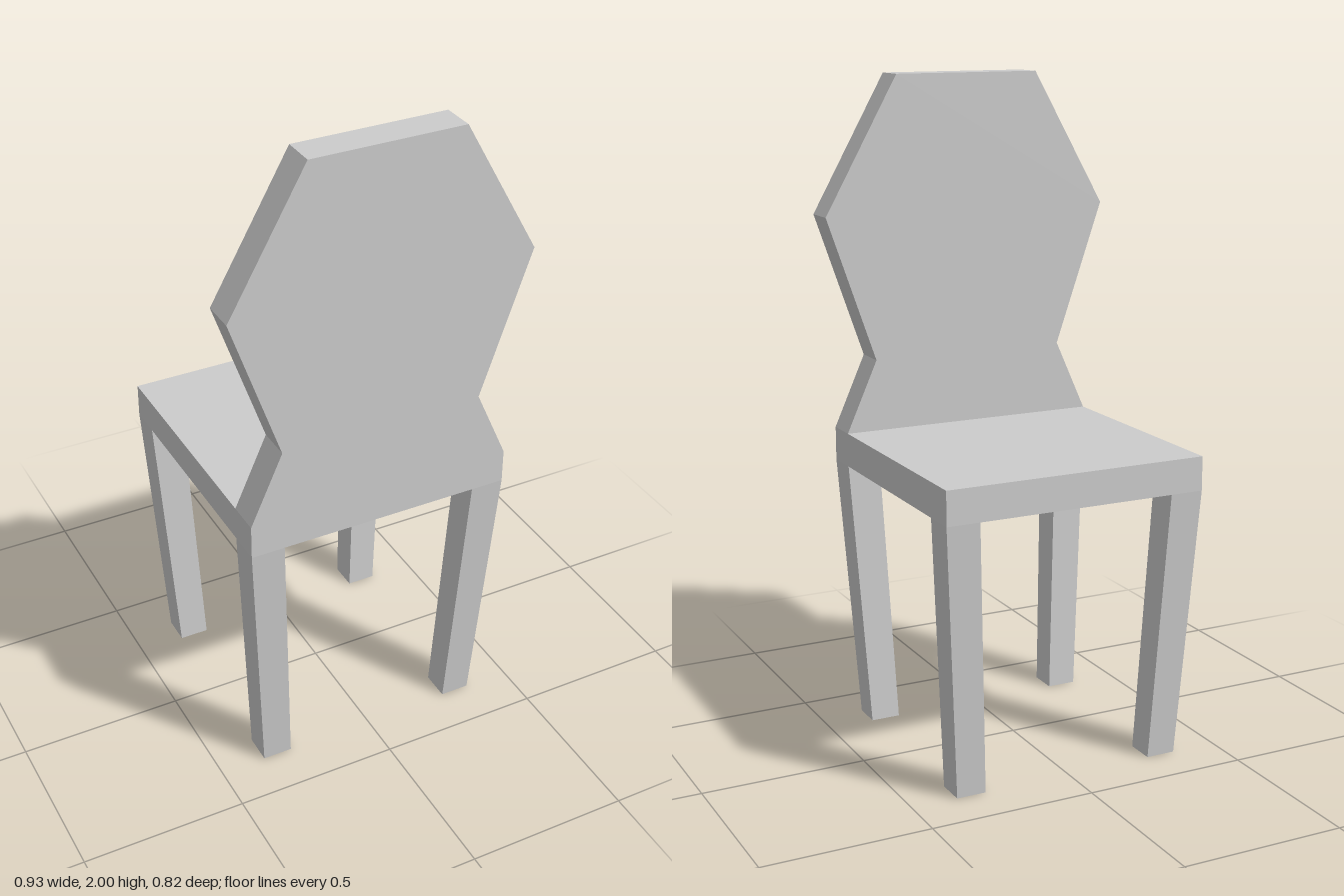
import * as THREE from 'three';

const HALF = 0.408;      // half width and depth of the seat
const INNER = 0.306;     // inner edge of legs and backrest
const SEAT_BOTTOM = 0.825;
const SEAT_TOP = 0.928;

export function createModel() {
  const model = new THREE.Group();
  model.name = 'chair';
  const material = new THREE.MeshStandardMaterial({ color: 0xcccccc, flatShading: true });

  const add = (geometry, name) => {
    const mesh = new THREE.Mesh(geometry, material);
    mesh.name = name;
    model.add(mesh);
    return mesh;
  };

  // Seat slab
  const seat = add(new THREE.BoxGeometry(2 * HALF, SEAT_TOP - SEAT_BOTTOM, 2 * HALF), 'seat');
  seat.position.y = (SEAT_TOP + SEAT_BOTTOM) / 2;

  // Waisted backrest, outlined by its right half and mirrored
  const half = [[HALF, SEAT_TOP], [0.31, 1.147], [0.463, 1.588], [0.231, 2]];
  const outline = [...half, ...half.map(([x, y]) => [-x, y]).reverse()];
  const shape = new THREE.Shape(outline.map(([x, y]) => new THREE.Vector2(x, y)));
  const back = add(
    new THREE.ExtrudeGeometry(shape, { depth: HALF - INNER, bevelEnabled: false }), 'backrest');
  back.position.z = INNER;

  // Legs lean inwards and taper slightly towards the floor
  for (const sx of [-1, 1]) {
    for (const sz of [-1, 1]) {
      const geometry = new THREE.BoxGeometry(1, 1, 1);
      const p = geometry.attributes.position;
      for (let i = 0; i < p.count; i++) {
        const top = p.getY(i) > 0;
        const place = (v, s) => s * (v * s > 0 ? (top ? HALF : 0.36) : (top ? INNER : 0.27));
        p.setXYZ(i, place(p.getX(i), sx), top ? SEAT_BOTTOM : 0, place(p.getZ(i), sz));
      }
      geometry.computeVertexNormals();
      add(geometry, `${sz > 0 ? 'front' : 'back'}${sx > 0 ? 'Left' : 'Right'}Leg`);
    }
  }

  return model;
}
